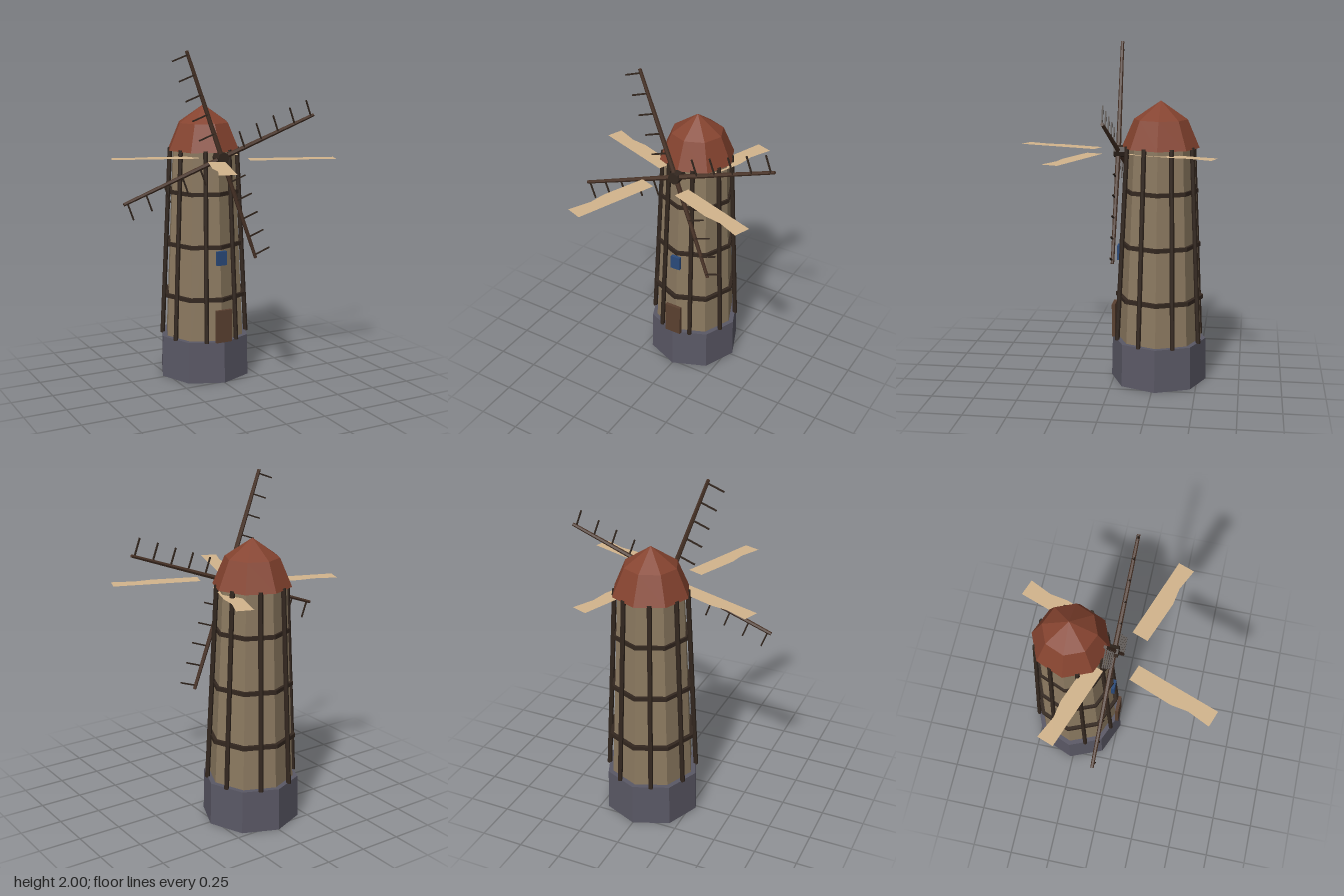
import * as THREE from 'three';

const SIDES = 8;
const AXIS_Z = -0.267; // tower axis
const HUB_Y = 1.373;

const mat = (color, side = THREE.FrontSide) =>
  new THREE.MeshStandardMaterial({ color, flatShading: true, side });

const stone = mat(0x5a5865);
const wall = mat(0x8b7960);
const timber = mat(0x33271f);
const roofMat = mat(0x85432f);
const sparMat = mat(0x4a3428);
const doorMat = mat(0x5a4030);
const glass = mat(0x2a4a7a);
const cloth = mat(0xd2b48c, THREE.DoubleSide);

function add(parent, name, geometry, material, x = 0, y = 0, z = 0) {
  const mesh = new THREE.Mesh(geometry, material);
  mesh.name = name;
  mesh.position.set(x, y, z);
  parent.add(mesh);
  return mesh;
}

// Straight round pole between two points
function pole(parent, name, a, b, rA, rB, sides, material) {
  const dir = b.clone().sub(a);
  const mesh = add(parent, name, new THREE.CylinderGeometry(rB, rA, dir.length(), sides), material);
  mesh.position.copy(a).add(b).multiplyScalar(0.5);
  mesh.quaternion.setFromUnitVectors(new THREE.Vector3(0, 1, 0), dir.normalize());
  return mesh;
}

function buildTower() {
  const tower = new THREE.Group();
  tower.name = 'tower';
  tower.position.z = AXIS_Z;

  add(tower, 'stoneBase', new THREE.CylinderGeometry(0.28, 0.285, 0.255, SIDES), stone, 0, 0.1275);
  add(tower, 'towerWall', new THREE.CylinderGeometry(0.198, 0.25, 1.15, SIDES), wall, 0, 0.83);

  // Horizontal bands
  for (const [y, r] of [[0.512, 0.26], [0.832, 0.241], [1.15, 0.222]]) {
    add(tower, 'band', new THREE.CylinderGeometry(r, r, 0.024, SIDES), timber, 0, y);
  }

  // Leaning beams up the middle of each wall face
  for (let i = 0; i < SIDES; i++) {
    const a = ((i + 0.5) / SIDES) * Math.PI * 2;
    const at = (r, y) => new THREE.Vector3(Math.sin(a) * r, y, Math.cos(a) * r);
    pole(tower, 'beam', at(0.26, 0.25), at(0.203, 1.41), 0.014, 0.014, 6, timber);
  }

  // Faceted cap with a closed underside
  const profile = [[0, 1.4], [0.226, 1.4], [0.156, 1.563], [0, 1.67]]
    .map(([r, y]) => new THREE.Vector2(r, y));
  add(tower, 'roof', new THREE.LatheGeometry(profile, SIDES), roofMat);
  return tower;
}

function buildSailWheel() {
  const wheel = new THREE.Group();
  wheel.name = 'sailWheel';
  wheel.position.y = HUB_Y;

  const hub = add(wheel, 'hub', new THREE.CylinderGeometry(0.036, 0.036, 0.08, 8), timber, 0, 0, -0.035);
  hub.rotation.x = Math.PI / 2;

  // Four spars, each with a comb of rungs on one side
  for (let i = 0; i < 4; i++) {
    const arm = new THREE.Group();
    arm.name = 'sailArm';
    arm.rotation.z = THREE.MathUtils.degToRad(20 + 90 * i);
    pole(arm, 'spar', new THREE.Vector3(0, 0, -0.02), new THREE.Vector3(0.663, 0, -0.015),
      0.015, 0.01, 6, sparMat);
    for (let k = 0; k < 5; k++) {
      add(arm, 'rung', new THREE.BoxGeometry(0.008, 0.105, 0.008), timber,
        0.155 + 0.1215 * k, 0.053, -0.011);
    }
    wheel.add(arm);
  }

  // Four cloth sails lying level with the hub
  const outline = [[0.142, 0.008], [0.65, 0.008], [0.65, 0.108], [0.511, 0.094], [0.41, 0.112], [0.142, 0.107]]
    .map(([u, v]) => new THREE.Vector2(u, -v));
  const sailGeo = new THREE.ShapeGeometry(new THREE.Shape(outline)).rotateX(-Math.PI / 2);
  for (let i = 0; i < 4; i++) {
    const sail = add(wheel, 'clothSail', sailGeo, cloth);
    sail.rotation.y = -THREE.MathUtils.degToRad(20 + 90 * i);
  }
  return wheel;
}

export function createModel() {
  const model = new THREE.Group();
  model.name = 'windmill';
  model.add(buildTower(), buildSailWheel());
  add(model, 'door', new THREE.BoxGeometry(0.104, 0.2, 0.02), doorMat, 0, 0.355, 0.003);
  add(model, 'window', new THREE.BoxGeometry(0.062, 0.086, 0.02), glass, 0, 0.768, -0.026);
  return model;
}
